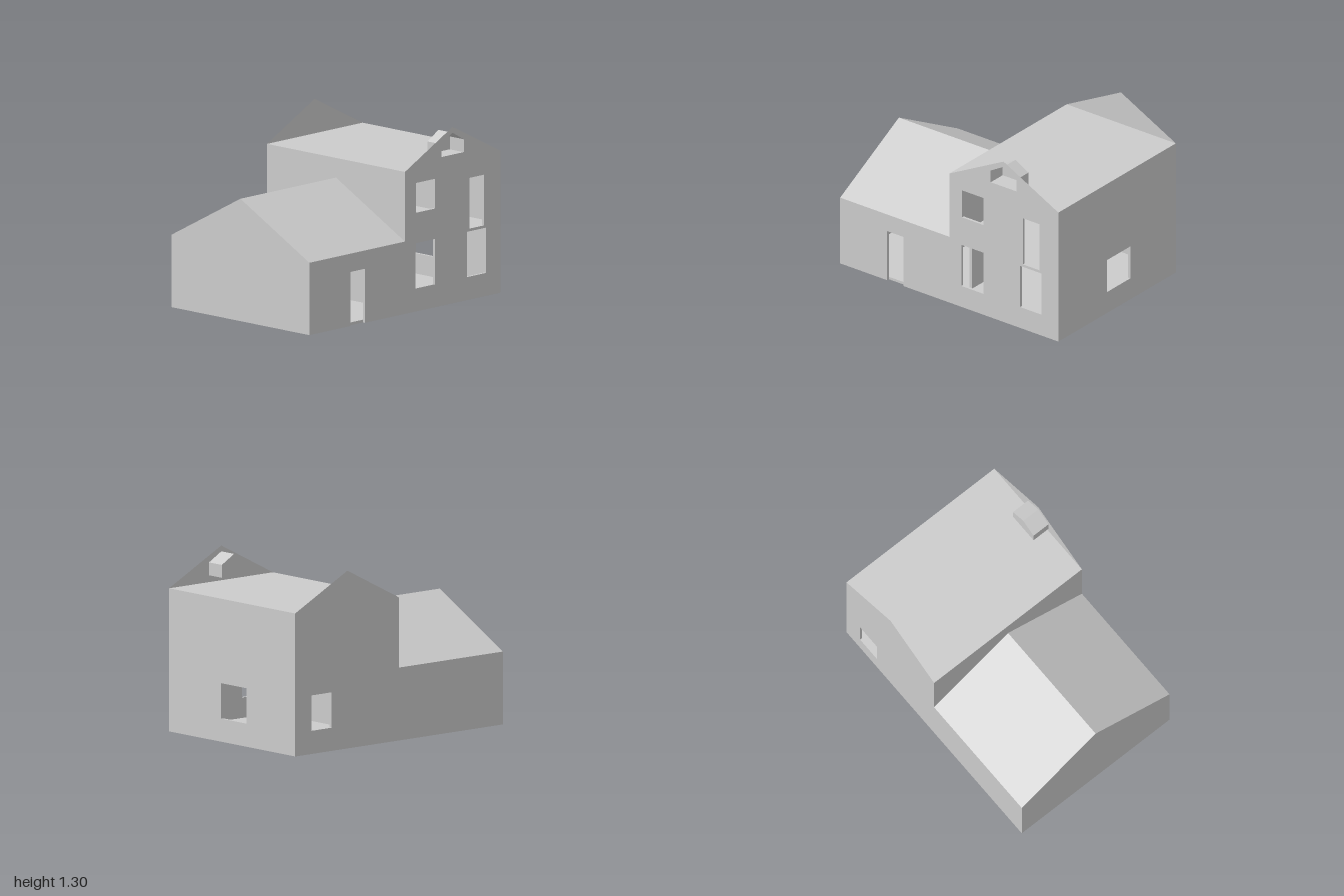
import * as THREE from 'three';

const D = 0.69;        // half depth of the house
const T = 0.02;        // wall thickness
const EAVE = 0.535, RIDGE = 0.905, TOP = 1.05, PEAK = 1.305;

const material = new THREE.MeshStandardMaterial({ color: 0xcccccc });
const thin = new THREE.MeshStandardMaterial({ color: 0xcccccc, side: THREE.DoubleSide });

const points = (list) => list.map(([x, y]) => new THREE.Vector2(x, y));

// rectangle given as x0, x1, y0, y1
const rect = (x0, x1, y0, y1) => [[x0, y0], [x1, y0], [x1, y1], [x0, y1]];

function outline(list, holes = []) {
  const shape = new THREE.Shape(points(list));
  for (const h of holes) shape.holes.push(new THREE.Path(points(h)));
  return shape;
}

const slab = (shape, depth = T) =>
  new THREE.ExtrudeGeometry(shape, { depth, bevelEnabled: false });

// extrusion whose profile is drawn in z and y; it runs from x0 to x0 + depth
const sideSlab = (shape, x0, depth = T) =>
  slab(shape, depth).rotateY(-Math.PI / 2).translate(x0 + depth, 0, 0);

function box(x0, x1, y0, y1, z0, z1) {
  return new THREE.BoxGeometry(x1 - x0, y1 - y0, z1 - z0)
    .translate((x0 + x1) / 2, (y0 + y1) / 2, (z0 + z1) / 2);
}

export function createModel() {
  const house = new THREE.Group();
  house.name = 'house';
  const add = (name, geometry, mat = material) => {
    const mesh = new THREE.Mesh(geometry, mat);
    mesh.name = name;
    house.add(mesh);
  };

  // Front wall with door notch and four windows
  const upperEdge = [[1, 0], [1, TOP], [0, TOP], [0, EAVE], [-1, EAVE]];
  const doorEdge = [[-1, 0], [-0.57, 0], [-0.57, 0.4], [-0.42, 0.4], [-0.42, 0]];
  const frontWindows = [
    rect(0.115, 0.315, 0.73, 0.95),
    rect(0.11, 0.315, 0.17, 0.505),
    rect(0.675, 0.825, 0.525, 0.9),
    rect(0.65, 0.845, 0.17, 0.505),
  ];
  add('frontWall', slab(outline([...doorEdge, ...upperEdge], frontWindows)).translate(0, 0, D - T));

  // Back wall with one window
  add('backWall', slab(outline([[-1, 0], ...upperEdge], [rect(0.65, 0.845, 0.17, 0.43)])).translate(0, 0, -D));

  // Side walls and the wall between the tall block and the low wing
  const inner = D - T;
  add('leftWall', sideSlab(outline(rect(-inner, inner, 0, TOP), [rect(-0.155, 0.12, 0.17, 0.43)]), 1 - T));
  add('partyWall', sideSlab(outline(rect(-inner, inner, 0, TOP), [rect(0.45, 0.58, 0.02, 0.4)]), 0));
  add('wingGableWall', sideSlab(outline(
    [[-inner, 0], [inner, 0], [inner, EAVE], [D, EAVE], [0, RIDGE], [-D, EAVE], [-inner, EAVE]]), -1));

  // Pitched roof over the wing
  add('wingRoof', sideSlab(outline([
    [D, EAVE], [0, RIDGE], [-D, EAVE],
    [-inner, EAVE - 0.013], [0, RIDGE - 0.025], [inner, EAVE - 0.013],
  ]), -1 + T, 1 - T));

  // Floors and the flat roof of the tall block
  add('groundFloor', box(-1 + T, 1 - T, 0, T, -inner, inner));
  add('upperFloor', box(T, 1 - T, 0.505, 0.52, -inner, inner));
  add('flatRoof', box(T, 1 - T, TOP - T, TOP, -inner, inner));

  // Paper-thin gables; the front one has an opening for the attic niche
  const niche = [[0.38, 1.1], [0.615, 1.1], [0.615, 1.195], [0.497, 1.262], [0.38, 1.195]];
  const gable = [[0, TOP], [1, TOP], [0.497, PEAK]];
  add('frontGable', new THREE.ShapeGeometry(outline(gable, [niche])).translate(0, 0, D), thin);
  add('backGable', new THREE.ShapeGeometry(outline(gable)).translate(0, 0, -D), thin);

  // Attic niche: a shell open to the front, closed at its back
  const zBack = 0.55;
  const verts = [];
  niche.forEach(([ax, ay], i) => {
    const [bx, by] = niche[(i + 1) % niche.length];
    verts.push(
      ax, ay, zBack, bx, by, zBack, bx, by, D,
      ax, ay, zBack, bx, by, D, ax, ay, D);
  });
  const shell = new THREE.BufferGeometry();
  shell.setAttribute('position', new THREE.Float32BufferAttribute(verts, 3));
  shell.computeVertexNormals();
  add('atticNicheSides', shell, thin);
  add('atticNicheBack', new THREE.ShapeGeometry(outline(niche)).translate(0, 0, zBack), thin);

  return house;
}
